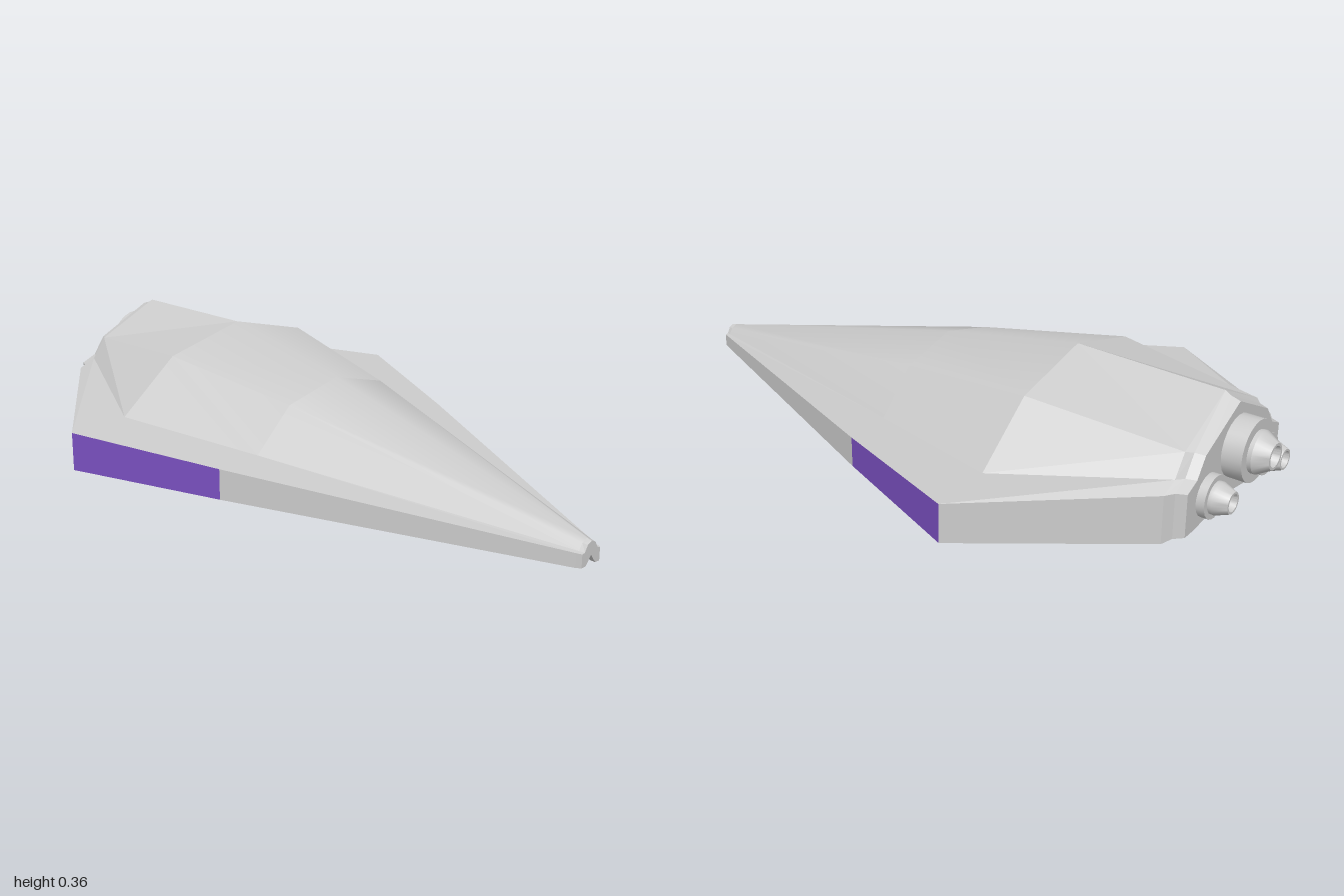
import * as THREE from 'three';
import { toCreasedNormals } from 'three/addons/utils/BufferGeometryUtils.js';

const grey = new THREE.MeshStandardMaterial({ color: 0xcccccc });
const purple = new THREE.MeshStandardMaterial({ color: 0x7a50c0 });

// Half section: keel, belly rim, chine, deck edge, dome base, dome shoulder, ridge.
const section = (z, half) => {
  const mirror = half.slice(1, -1).reverse().map(([x, y]) => [-x, y]);
  return [...half, ...mirror].map(([x, y]) => new THREE.Vector3(x, y, z));
};

// Same outline shrunk towards a centre height and moved along z.
const inset = (ring, z, sx, sy, cy) =>
  ring.map((p) => new THREE.Vector3(p.x * sx, cy + (p.y - cy) * sy, z));

const nose = section(0.985, [[0, 0.03], [0.022, 0.003], [0.042, 0.002], [0.042, 0.042], [0.03, 0.044], [0.018, 0.063], [0, 0.071]]);
const middle = section(0.065, [[0, 0.052], [0.3, 0.018], [0.437, 0.018], [0.437, 0.108], [0.3, 0.115], [0.18, 0.237], [0, 0.284]]);
const widest = section(-0.39, [[0, 0.06], [0.435, 0.025], [0.618, 0.025], [0.618, 0.139], [0.435, 0.147], [0.252, 0.3], [0, 0.365]]);
const rear = section(-0.845, [[0, 0.066], [0.24, 0.035], [0.292, 0.034], [0.292, 0.173], [0.24, 0.196], [0.197, 0.257], [0, 0.354]]);
const tip = inset(nose, 1, 0.85, 0.94, 0.03);
const lip = inset(rear, -0.862, 0.91, 0.94, 0.18);
const plate = inset(lip, -0.89, 0.95, 0.95, 0.18);

// Skin between stations (front to back), covering ring points from..to.
// Diagonals mirror each other; those of the two roof columns meet on the ridge.
function skin(stations, from, to, smooth = false) {
  const cols = to - from + 1;
  const pos = [];
  const index = [];
  stations.forEach((ring, i) => {
    for (let j = 0; j < cols; j++) {
      const k = (from + j) % ring.length;
      pos.push(...ring[k].toArray());
      if (i + 1 < stations.length && j + 1 < cols) {
        const a = i * cols + j;
        const b = a + cols;
        if (k < 5 || k === 6) index.push(a, b, b + 1, a, b + 1, a + 1);
        else index.push(a, b, a + 1, a + 1, b, b + 1);
      }
    }
  });
  let geo = new THREE.BufferGeometry();
  geo.setAttribute('position', new THREE.Float32BufferAttribute(pos, 3));
  geo.setIndex(index);
  if (!smooth) geo = geo.toNonIndexed();
  geo.computeVertexNormals();
  return geo;
}

// Flat end cap over a ring.
function cap(ring, backwards) {
  const shape = new THREE.Shape(ring.map((p) => new THREE.Vector2(p.x, p.y)));
  const geo = new THREE.ShapeGeometry(shape);
  if (backwards) geo.rotateY(Math.PI);
  return geo.translate(0, 0, ring[0].z);
}

// Flange with a tapered hollow nozzle, pointing backwards.
function engine(flangeR, flangeL, r0, r1, length) {
  const profile = [
    [flangeR, 0], [flangeR, flangeL], [r0, flangeL], [r0, flangeL + 0.012],
    [r1, length], [r1 * 0.8, length], [r1 * 0.6, length - 0.035], [0, length - 0.035],
  ].map(([r, y]) => new THREE.Vector2(r, y));
  return toCreasedNormals(new THREE.LatheGeometry(profile, 24), 0.5).rotateX(-Math.PI / 2);
}

export function createModel() {
  const group = new THREE.Group();
  const add = (name, geo, mat = grey) => {
    const mesh = new THREE.Mesh(geo, mat);
    mesh.name = name;
    group.add(mesh);
    return mesh;
  };

  // Shallow vaulted belly
  add('belly', skin([nose, middle, widest, rear], 11, 13, true));

  // Belly rims, side walls with coloured panels, decks and dome flanks, on both sides
  for (const [side, rim, wall, deck, flank] of [['left', 1, 2, 3, 4], ['right', 10, 9, 8, 7]]) {
    add(`${side}BellyRim`, skin([nose, middle, widest, rear], rim, rim + 1));
    add(`${side}FrontWall`, skin([nose, middle], wall, wall + 1));
    add(`${side}ColourPanel`, skin([middle, widest], wall, wall + 1), purple);
    add(`${side}RearWall`, skin([widest, rear], wall, wall + 1));
    add(`${side}Deck`, skin([nose, middle, widest, rear], deck, deck + 1));
    add(`${side}DomeFlank`, skin([middle, widest], flank, flank + 1, true));
  }

  // Upper hull: smooth nose, canopy, faceted rear
  add('noseCone', skin([nose, middle], 4, 8, true));
  add('canopy', skin([middle, widest], 5, 7, true));
  add('rearDome', skin([widest, rear], 4, 8));

  // Nose tip
  add('noseTip', skin([tip, nose], 0, 12));
  add('noseCap', cap(tip, false));

  // Stepped rear plate
  add('rearLip', skin([rear, lip, plate], 0, 12));
  add('rearPlate', cap(plate, true));

  // Engines
  add('mainEngine', engine(0.087, 0.058, 0.06, 0.037, 0.11)).position.set(0, 0.21, -0.89);
  for (const s of [1, -1]) {
    add(s > 0 ? 'leftEngine' : 'rightEngine', engine(0.06, 0.024, 0.045, 0.03, 0.074))
      .position.set(s * 0.147, 0.128, -0.89);
  }
  return group;
}
